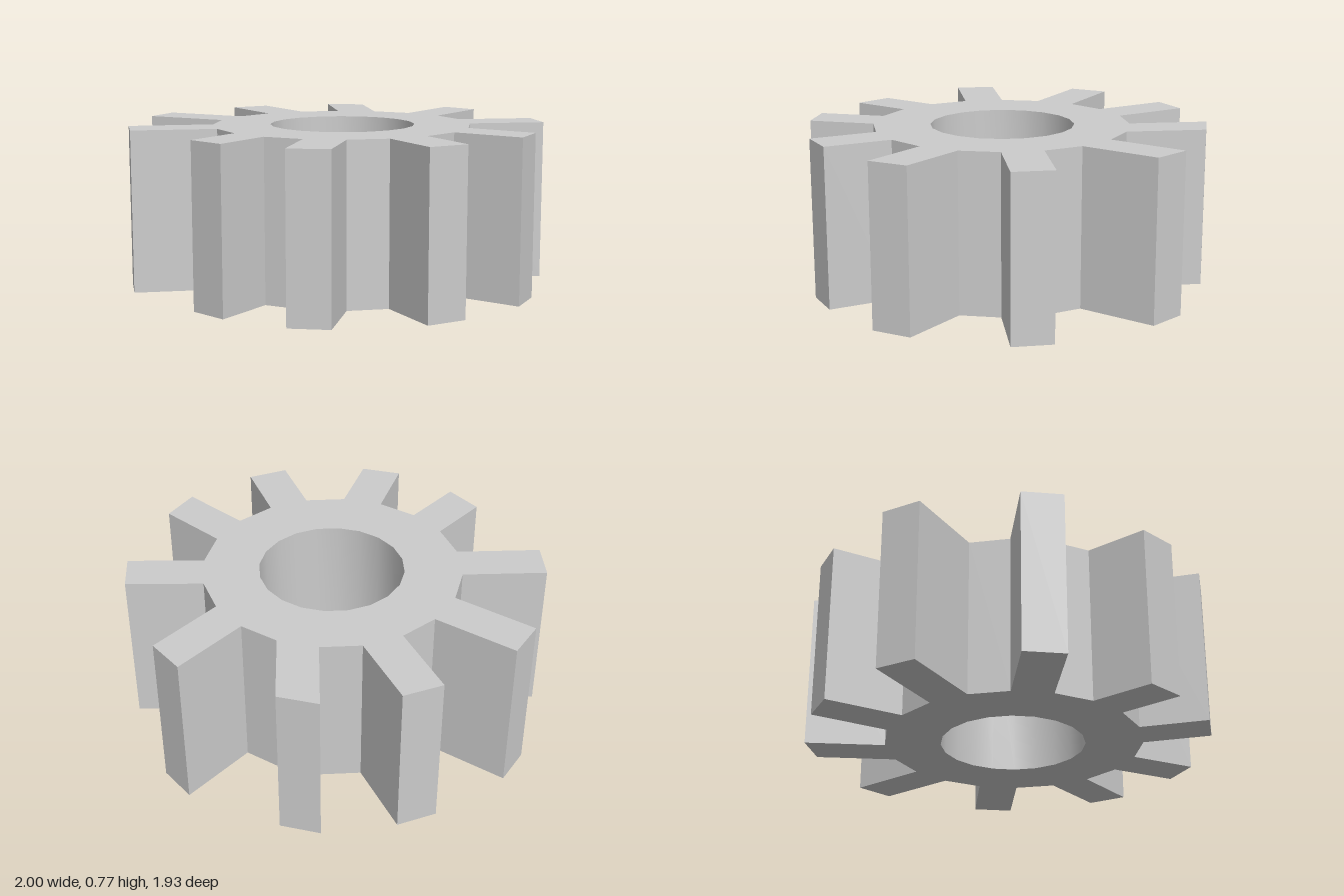
import * as THREE from 'three';
import { toCreasedNormals } from 'three/addons/utils/BufferGeometryUtils.js';

const HEIGHT = 0.77;
const ROOT_RADIUS = 0.62;
const HOLE_RADIUS = 0.348;
const SIDES = 20;

// How far each tooth is pulled out of the hub, as (x, z), clockwise from the back
const TOOTH_OFFSETS = [
  [0, -0.39], [0.273, -0.248], [0.347, 0], [0.29, 0.15], [0.125, 0.3],
  [0, 0.304], [-0.291, 0.278], [-0.413, 0.055], [-0.348, -0.15], [-0.26, -0.283],
];

// Corner i of a regular ring, clockwise from the back
function ringPoint(radius, i, cx, cz) {
  const a = (i / SIDES) * Math.PI * 2;
  return new THREE.Vector2(cx + radius * Math.sin(a), cz - radius * Math.cos(a));
}

export function createModel() {
  const group = new THREE.Group();
  group.name = 'gear';

  // Outline: every other side of a 20-sided hub is extruded into a tooth
  const outline = [];
  TOOTH_OFFSETS.forEach(([dx, dz], t) => {
    const offset = new THREE.Vector2(dx, dz);
    const start = ringPoint(ROOT_RADIUS, 2 * t, 0.033, 0.042);
    const end = ringPoint(ROOT_RADIUS, 2 * t + 1, 0.033, 0.042);
    outline.push(start, start.clone().add(offset), end.clone().add(offset), end);
  });
  const shape = new THREE.Shape(outline);

  // Round shaft hole
  const hole = [];
  for (let i = 0; i < SIDES; i++) hole.push(ringPoint(HOLE_RADIUS, i, 0.033, 0.037));
  shape.holes.push(new THREE.Path(hole));

  // Lay the extrusion flat; creasing smooths only the hole wall
  const geometry = new THREE.ExtrudeGeometry(shape, { depth: HEIGHT, bevelEnabled: false });
  geometry.rotateX(Math.PI / 2);
  geometry.translate(0, HEIGHT, 0);

  const body = new THREE.Mesh(
    toCreasedNormals(geometry, 0.4),
    new THREE.MeshStandardMaterial({ color: 0xcccccc })
  );
  body.name = 'toothedWheel';
  group.add(body);
  return group;
}
